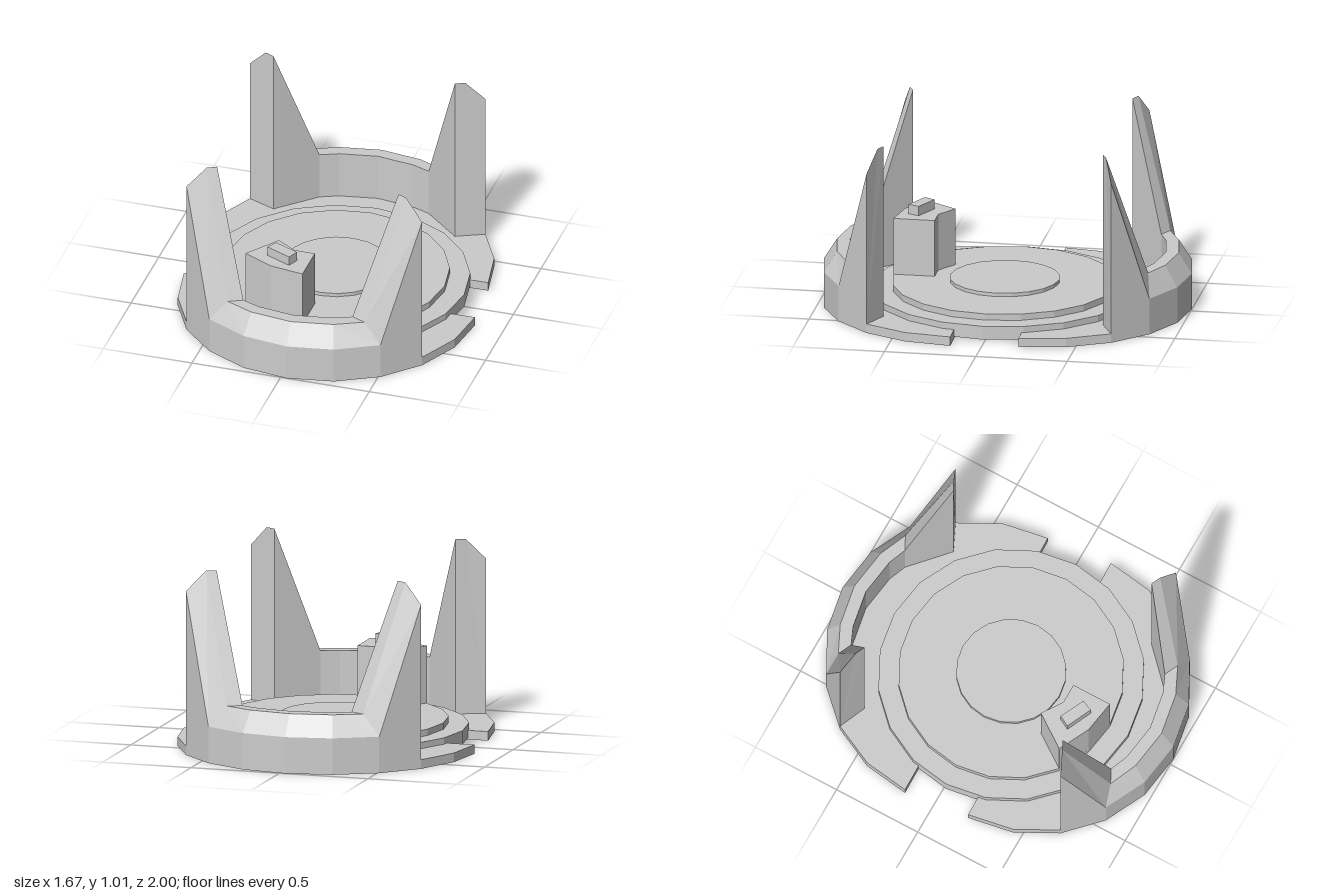
import * as THREE from 'three';

const material = new THREE.MeshStandardMaterial({ color: 0xcccccc, flatShading: true });
const CX = 0.02, CZ = 0.183, R = 0.817;

// Point on a circle around the half-ring centre; degrees run from +x towards +z
function polar(radius, degrees) {
  const a = THREE.MathUtils.degToRad(degrees);
  return [CX + radius * Math.cos(a), CZ + radius * Math.sin(a)];
}

// Upright prism from an [x, z] outline
function prism(name, outline, y0, y1) {
  const shape = new THREE.Shape(outline.map(([x, z]) => new THREE.Vector2(x, -z)));
  const geometry = new THREE.ExtrudeGeometry(shape, { depth: y1 - y0, bevelEnabled: false });
  geometry.rotateX(-Math.PI / 2).translate(0, y0, 0);
  const mesh = new THREE.Mesh(geometry, material);
  mesh.name = name;
  return mesh;
}

function disc(name, radius, y0, y1) {
  const mesh = new THREE.Mesh(new THREE.CylinderGeometry(radius, radius, y1 - y0, 20), material);
  mesh.position.set(0.008, (y0 + y1) / 2, 0.015);
  mesh.name = name;
  return mesh;
}

// Chamfered wall section at one station; the two end stations rise into posts
function wallSection(i) {
  const angle = 18 * i - 1;
  const side = i < 5 ? 1 : -1;
  const isPost = i === 2 || i === 8;
  const isFoot = i === 3 || i === 7;
  const outer = polar(R, angle);
  const chamfer = polar(isPost ? 0.71 : 0.745, angle + side * (isPost ? 2 : isFoot ? 5 : 0));
  const inner = polar(isPost ? 0.655 : 0.675, angle + side * (isPost ? 3 : isFoot ? 9 : 0));
  const [low, high] = isPost ? [0.9, 1.01] : [0.2, 0.315];
  return [[outer, 0.05], [outer, low], [chamfer, high], [inner, high], [inner, 0.05]]
    .map(([[x, z], y]) => [x, y, z]);
}

function postWall() {
  const rings = [];
  for (let i = 2; i <= 8; i++) rings.push(wallSection(i));
  const out = [];
  const tri = (a, b, c) => out.push(...a, ...b, ...c);
  const n = rings[0].length;
  for (let i = 0; i < rings.length - 1; i++) {
    for (let j = 0; j < n; j++) {
      const k = (j + 1) % n;
      const a = rings[i][j], b = rings[i + 1][j], c = rings[i + 1][k], d = rings[i][k];
      tri(a, d, c);
      tri(a, c, b);
    }
  }
  // Flat end faces of the posts
  const first = rings[0], last = rings[rings.length - 1];
  for (let j = 1; j < n - 1; j++) {
    tri(first[0], first[j + 1], first[j]);
    tri(last[0], last[j], last[j + 1]);
  }
  const geometry = new THREE.BufferGeometry();
  geometry.setAttribute('position', new THREE.Float32BufferAttribute(out, 3));
  geometry.computeVertexNormals();
  const mesh = new THREE.Mesh(geometry, material);
  mesh.name = 'postWall';
  return mesh;
}

export function createModel() {
  const model = new THREE.Group();
  model.name = 'roundHolder';

  // Two identical halves, each a half-round flange with a wall and two posts
  const outline = [];
  for (let i = 0; i <= 10; i++) outline.push(polar(R, 18 * i - 1));
  for (const [name, turn] of [['frontHalf', 0], ['backHalf', Math.PI]]) {
    const half = new THREE.Group();
    half.name = name;
    half.add(prism('flange', outline, 0, 0.05), postWall());
    half.rotation.y = turn;
    model.add(half);
  }

  // Stepped discs in the middle
  model.add(
    disc('baseDisc', 0.72, 0.01, 0.085),
    disc('middleDisc', 0.61, 0.085, 0.12),
    disc('centreDisc', 0.297, 0.12, 0.14)
  );

  // Block standing at the disc's edge, with a small knob on top
  model.add(
    prism('block', [[-0.22, 0.325], [-0.107, 0.4], [0.006, 0.4], [0.006, 0.625],
      [-0.18, 0.595], [-0.35, 0.51]], 0.12, 0.435),
    prism('knob', [[-0.2, 0.436], [-0.064, 0.5], [-0.09, 0.56], [-0.232, 0.495]], 0.435, 0.488)
  );
  return model;
}
